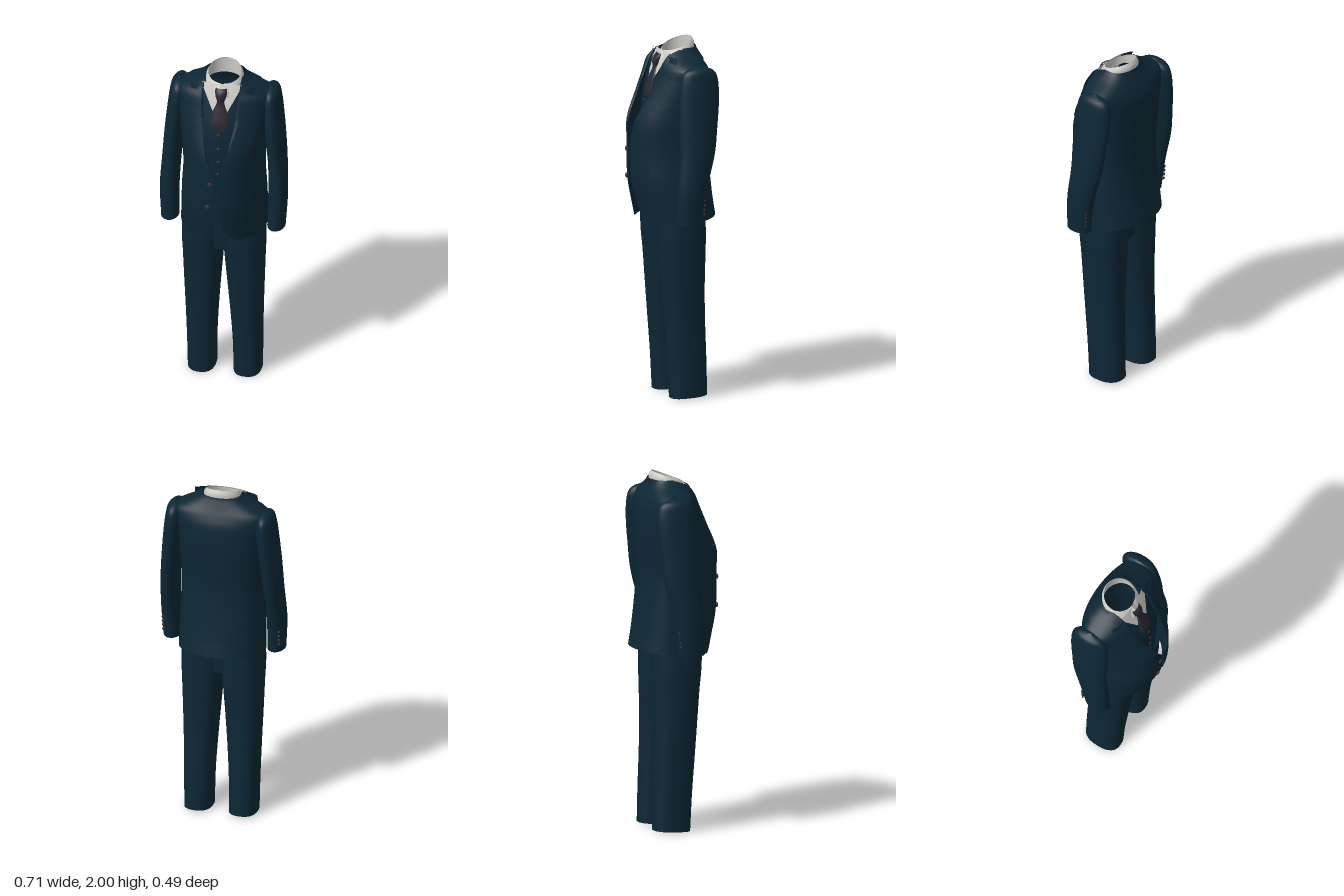
import * as THREE from 'three';

const paint = (name, color) => {
  const m = new THREE.MeshStandardMaterial({ color, side: THREE.DoubleSide });
  m.name = name;
  return m;
};

// Smooth interpolation in a table of rows [y, v1, v2, ...] sorted by y
function sample(table, y, smooth = true) {
  const n = table.length;
  let i = 0;
  while (i < n - 2 && y > table[i + 1][0]) i++;
  const a = table[i], b = table[i + 1], h = b[0] - a[0];
  const t = THREE.MathUtils.clamp((y - a[0]) / h, 0, 1);
  const p = table[Math.max(i - 1, 0)], q = table[Math.min(i + 2, n - 1)];
  return a.slice(1).map((_, k) => {
    const c = k + 1;
    if (!smooth) return a[c] + (b[c] - a[c]) * t;
    const m0 = (b[c] - p[c]) / (b[0] - p[0]) * h, m1 = (q[c] - a[c]) / (q[0] - a[0]) * h;
    const t2 = t * t, t3 = t2 * t;
    return (2 * t3 - 3 * t2 + 1) * a[c] + (t3 - 2 * t2 + t) * m0 + (3 * t2 - 2 * t3) * b[c] + (t3 - t2) * m1;
  });
}

// Surface from fn(u, v) -> [x, y, z]; closed joins the ends of u
function surface(nu, nv, fn, closed = false) {
  const pos = [], idx = [], cols = closed ? nu : nu + 1;
  for (let j = 0; j <= nv; j++)
    for (let i = 0; i < cols; i++) pos.push(...fn(i / nu, j / nv));
  for (let j = 0; j < nv; j++)
    for (let i = 0; i < nu; i++) {
      const k = (i + 1) % cols, a = j * cols + i, b = j * cols + k, c = a + cols, d = b + cols;
      idx.push(a, b, d, a, d, c);
    }
  const g = new THREE.BufferGeometry();
  g.setAttribute('position', new THREE.Float32BufferAttribute(pos, 3));
  g.setIndex(idx);
  g.computeVertexNormals();
  return g;
}

const lerp = THREE.MathUtils.lerp;

// Jacket body: y, half width, side z, front z, back z
const BODY = [
  [1.00, .24, -.03, .19, -.24], [1.2, .234, -.03, .235, -.212], [1.4, .225, -.03, .243, -.195],
  [1.55, .235, -.03, .232, -.2], [1.7, .25, -.035, .17, -.205], [1.8, .265, -.05, .125, -.198],
  [1.86, .27, -.06, .1, -.175], [1.885, .225, -.055, .09, -.162], [1.915, .16, -.05, .08, -.147],
  [1.95, .105, -.05, .06, -.13],
];
// Front edge of the jacket: y, x
const EDGE = [[1.0, .13], [1.015, .085], [1.05, .05], [1.12, .028], [1.22, .014], [1.35, .008], [1.44, .008],
  [1.55, .05], [1.72, .085], [1.9, .1], [1.95, .1]];
const edge = (y) => sample(EDGE, y, false)[0];

function bodyPoint(th, y, off = 0) {
  const [a, zc, zf, zb] = sample(BODY, y);
  const s = Math.sin(th), c = Math.cos(th);
  const z = c > 0 ? zc + (zf - zc) * c : zc - (zc - zb) * Math.pow(-c, .75);
  const hem = THREE.MathUtils.clamp((1.1 - y) / .1, 0, 1);
  return [(a + off) * s, y - .018 * c * hem + off * .5, z + off * c];
}
// Point on the front of the jacket at a given x
function frontPoint(x, y, off) {
  const a = sample(BODY, y)[0];
  const p = bodyPoint(Math.asin(THREE.MathUtils.clamp(x / a, -1, 1)), y);
  return [p[0], p[1] + off * .4, p[2] + off];
}

// Waistcoat front depth by height
const VEST = [[1.08, .135], [1.4, .155], [1.6, .155], [1.7, .14], [1.8, .11], [1.9, .075], [1.95, .055]];
const vestZ = (x, y) => {
  const f = sample(VEST, y)[0];
  return -.03 + (f + .03) * Math.sqrt(1 - (x / .22) ** 2);
};

// Trouser leg: y, inner x, outer x, front z, back z
const LEG = [[0, .05, .206, .05, -.16], [.2, .047, .209, .06, -.155], [.4, .036, .214, .075, -.148],
  [.6, .021, .221, .09, -.145], [.8, .005, .228, .105, -.15], [.9, 0, .232, .115, -.152], [1.12, 0, .225, .125, -.15]];
// Sleeve: y, centre x, radius x, centre z, radius z
const SLEEVE = [[1.012, .297, .05, .005, .075], [1.2, .303, .053, -.01, .085], [1.4, .295, .052, -.045, .1],
  [1.55, .282, .055, -.055, .11], [1.7, .268, .055, -.065, .115], [1.82, .258, .05, -.07, .105],
  [1.865, .256, .037, -.07, .075], [1.885, .254, .004, -.07, .01]];
// Lapel and collar outer edge: y, x
const LAPEL = [[1.46, .012], [1.5, .035], [1.6, .1], [1.7, .168], [1.76, .205], [1.772, .15], [1.82, .16],
  [1.88, .145], [1.93, .115]];
// Tie: y, half width, base z, bulge
const TIE = [[1.66, .05, .138, .006], [1.72, .048, .13, .01], [1.78, .043, .109, .012], [1.845, .02, .088, .012],
  [1.87, .029, .08, .024], [1.905, .034, .07, .022], [1.92, .03, .062, .012]];

export function createModel() {
  const navy = paint('navy cloth', 0x0d2735), white = paint('shirt cloth', 0xd0cec8);
  const dark = paint('tie cloth', 0x2a2730), brown = paint('button brown', 0x3c2a2b);
  const model = new THREE.Group();
  const add = (name, geo, mat = navy) => {
    const m = new THREE.Mesh(geo, mat);
    m.name = name;
    model.add(m);
    return m;
  };
  const button = (name, x, y, z, r) => {
    const m = add(name, new THREE.SphereGeometry(r, 12, 8), brown);
    m.position.set(x, y, z);
    m.scale.z = .45;
    return m;
  };

  // Jacket body with open front
  add('jacketBody', surface(72, 72, (u, v) => {
    const y = lerp(1.0, 1.95, v), a = sample(BODY, y)[0];
    const t0 = Math.asin(Math.min(edge(y) / a, 1));
    return bodyPoint(lerp(t0, 2 * Math.PI - t0, u), y);
  }));
  // Turned-down collar round the back of the neck
  add('jacketCollar', surface(32, 6, (u, v) =>
    bodyPoint(lerp(.45, 1.55, u) * Math.PI, lerp(1.895, 1.955, v), .008)));

  for (const s of [1, -1]) {
    const side = s > 0 ? 'left' : 'right';
    // Peaked lapel
    add(side + 'Lapel', surface(8, 60, (u, v) => {
      const y = lerp(1.46, 1.93, v), x0 = edge(y);
      const x = lerp(x0, Math.max(sample(LAPEL, y, false)[0], x0 + .003), u);
      return frontPoint(s * x, y, u === 0 ? 0 : .009);
    }));
    // Pocket flap
    add(side + 'PocketFlap', surface(8, 2, (u, v) => {
      const x = lerp(.15, .222, u);
      return frontPoint(s * x, lerp(1.255, 1.31, v) + .1 * (x - .15), .01 - .004 * v);
    }));
    // Sleeve
    add(side + 'Sleeve', surface(28, 44, (u, v) => {
      const y = lerp(1.012, 1.885, 1 - (1 - v) ** 1.5), [cx, rx, cz, rz] = sample(SLEEVE, y);
      const t = u * 2 * Math.PI;
      return [s * (cx + rx * Math.sin(t)), y, cz + rz * Math.cos(t)];
    }, true));
    // Cuff buttons
    for (let i = 0; i < 4; i++) button(side + 'CuffButton', s * .331, 1.065 + i * .026, -.069 - i * .002, .009);
    // Trouser leg with a slightly squared section
    add(side + 'TrouserLeg', surface(32, 32, (u, v) => {
      const y = lerp(0, 1.12, v), [xi, xo, zf, zb] = sample(LEG, y);
      const t = u * 2 * Math.PI, sq = (k) => Math.sign(k) * Math.pow(Math.abs(k), .8);
      return [s * ((xi + xo) / 2 + (xo - xi) / 2 * sq(Math.sin(t))), y + .006 * (1 - v) * (1 - Math.cos(t)),
        (zf + zb) / 2 + (zf - zb) / 2 * sq(Math.cos(t))];
    }, true));
    // Waistcoat front with V neck and pointed hem
    add(side + 'WaistcoatFront', surface(14, 40, (u, v) => {
      const top = lerp(1.09, 1.92, v);
      const x = lerp(Math.max(0, (top - 1.715) * .52), .18, u);
      const y = top + (1 - v) ** 6 * .06 * Math.abs(x - .05) / .13;
      return [s * x, y, vestZ(x, y)];
    }));
  }

  // Breast pocket welt
  add('breastPocket', surface(6, 1, (u, v) =>
    frontPoint(lerp(.14, .215, u), lerp(1.605, 1.63, v) + .012 * u, .008)));

  // Trouser seat joining the legs
  add('trouserSeat', surface(40, 10, (u, v) => {
    const t = u * 2 * Math.PI;
    return [lerp(.2, .218, v) * Math.sin(t), lerp(.86, 1.22, v), -.013 + lerp(.105, .135, v) * Math.cos(t)];
  }, true));

  // Jacket and waistcoat buttons
  for (const [x, y] of [[-.03, 1.39], [-.046, 1.235]]) {
    const p = frontPoint(x, y, .005);
    button('jacketButton', p[0], y, p[2], .015);
  }
  for (let i = 0; i < 6; i++) {
    const y = 1.66 - i * .085;
    button('waistcoatButton', 0, y, vestZ(0, y) + .004, .011);
  }

  // Shirt front
  add('shirtFront', surface(16, 12, (u, v) => {
    const x = lerp(-.11, .11, u), y = lerp(1.62, 1.935, v);
    return [x, y, vestZ(x, y) - .012];
  }), white);
  // Shirt collar: standing band and folded leaf, angle measured from the back
  const bandTop = (t) => 1.966 + .032 * Math.cos(t);
  const ring = (t, r, y) => [r * Math.sin(t), y, -.04 - r * .9 * Math.cos(t)];
  add('collarBand', surface(48, 4, (u, v) => {
    const t = u * 2 * Math.PI;
    return ring(t, lerp(.097, .092, v), lerp(1.9, bandTop(t), v));
  }, true), white);
  add('collarLeaf', surface(56, 5, (u, v) => {
    const t = lerp(-1, 1, u) * (Math.PI - .12), k = Math.abs(t) / (Math.PI - .12);
    const front = THREE.MathUtils.smoothstep(k, .5, .87);
    const drop = k > .87 ? lerp(.085, .03, (k - .87) / .13) : lerp(.045, .085, front);
    const p = ring(t, lerp(.092, .104, Math.min(1, v * 2)), bandTop(t) + .002 - drop * v);
    p[2] += .03 * v * front;
    return p;
  }), white);

  // Tie: knot and blade in one loft
  add('tie', surface(12, 30, (u, v) => {
    const y = lerp(1.66, 1.92, v), [w, z, b] = sample(TIE, y), t = lerp(-1, 1, u);
    return [w * t, y, z + b * Math.sqrt(1 - t * t)];
  }), dark);

  return model;
}
